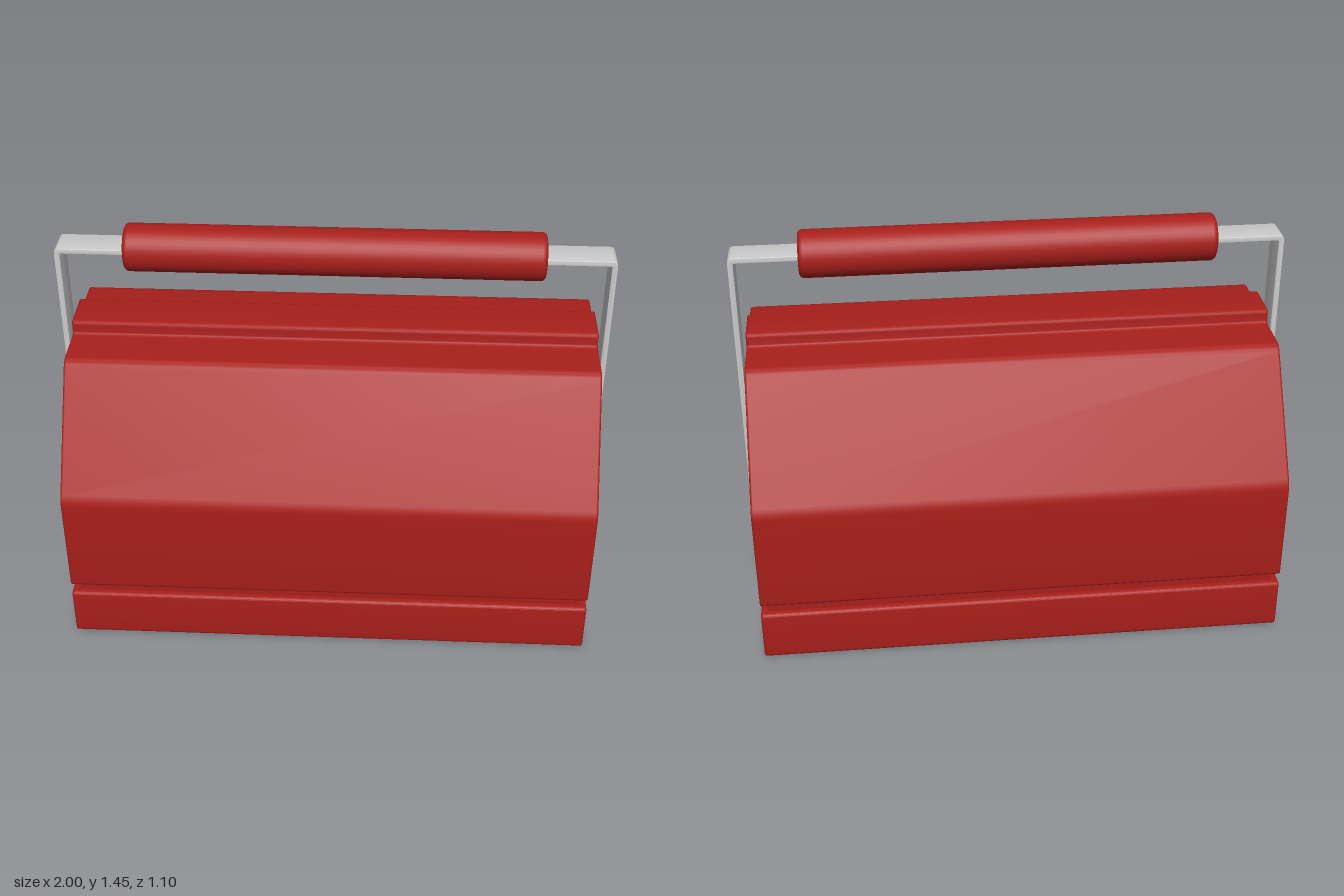
import * as THREE from 'three';
import { toCreasedNormals } from 'three/addons/utils/BufferGeometryUtils.js';

const red = new THREE.MeshStandardMaterial({ color: 0xa81f1b });
const grey = new THREE.MeshStandardMaterial({ color: 0xcccccc });

// Closed shape from [x, y, cornerRadius] points
function roundedShape(points) {
  const shape = new THREE.Shape();
  const n = points.length;
  points.forEach(([x, y, r], i) => {
    const corner = new THREE.Vector2(x, y);
    const toward = ([px, py]) =>
      new THREE.Vector2(px, py).sub(corner).setLength(r).add(corner);
    const a = toward(points[(i + n - 1) % n]);
    const b = toward(points[(i + 1) % n]);
    if (i === 0) shape.moveTo(a.x, a.y);
    else shape.lineTo(a.x, a.y);
    if (r > 0) shape.quadraticCurveTo(x, y, b.x, b.y);
  });
  shape.closePath();
  return shape;
}

// Extrusion centred on its depth, with softened edges inside the outline
function extrude(points, depth, bevel) {
  const geometry = new THREE.ExtrudeGeometry(roundedShape(points), {
    depth: depth - 2 * bevel,
    curveSegments: 5,
    bevelEnabled: true,
    bevelThickness: bevel,
    bevelSize: bevel,
    bevelOffset: -bevel,
    bevelSegments: 3,
  });
  geometry.translate(0, 0, -depth / 2 + bevel);
  return toCreasedNormals(geometry, 0.6);
}

// Mirrors the right half of a profile, listed from bottom to top
function mirrored(half) {
  return [...half, ...half.map(([x, y, r]) => [-x, y, r]).reverse()];
}

export function createModel() {
  const model = new THREE.Group();
  model.name = 'toolbox';
  const add = (name, geometry, material, parent = model) => {
    const mesh = new THREE.Mesh(geometry, material);
    mesh.name = name;
    parent.add(mesh);
    return mesh;
  };

  // Box: tray, recessed seam and gabled lid with a raised top ridge
  const width = 1.916;
  const tray = mirrored([[0.55, 0, 0.014], [0.55, 0.19, 0.014]]);
  const seam = mirrored([[0.525, 0.17, 0], [0.525, 0.25, 0]]);
  const lid = mirrored([
    [0.55, 0.228, 0.014],
    [0.55, 0.62, 0.025],
    [0.258, 1.043, 0.025],
    [0.085, 1.043, 0.015],
    [0.085, 1.095, 0.016],
  ]);
  add('tray', extrude(tray, width, 0.008).rotateY(Math.PI / 2), red);
  add('seam', extrude(seam, width - 0.05, 0.002).rotateY(Math.PI / 2), red);
  add('lid', extrude(lid, width, 0.008).rotateY(Math.PI / 2), red);

  // Handle: flat strap bent into a U, with half-round lower ends
  const handle = new THREE.Group();
  handle.name = 'handle';
  model.add(handle);
  const half = 0.056, t = 0.02, top = 1.38, endY = 0.066 + half;
  const strap = [
    [1, endY, 0], [1, top, 0.02], [-1, top, 0.02], [-1, endY, 0],
    [-1 + t, endY, 0], [-1 + t, top - t, 0.008],
    [1 - t, top - t, 0.008], [1 - t, endY, 0],
  ];
  add('strap', extrude(strap, 2 * half, 0.002), grey, handle);
  for (const side of [-1, 1]) {
    const end = new THREE.CylinderGeometry(half, half, t, 20, 1, false, Math.PI, Math.PI);
    end.rotateZ(Math.PI / 2);
    add('strapEnd', end, grey, handle).position.set(side * (1 - t / 2), endY, 0);
  }

  // Round grip with softened rims
  const r = 0.087, L = 0.752, b = 0.018;
  const profile = [new THREE.Vector2(0, -L)];
  for (const side of [-1, 1]) {
    for (let i = 0; i <= 5; i++) {
      const a = (side * (side < 0 ? 5 - i : i) * Math.PI) / 10;
      profile.push(new THREE.Vector2(r - b + b * Math.cos(a), side * (L - b) + b * Math.sin(a)));
    }
  }
  profile.push(new THREE.Vector2(0, L));
  const grip = new THREE.LatheGeometry(profile, 40).rotateZ(Math.PI / 2);
  add('grip', grip, red, handle).position.y = 1.364;

  return model;
}
